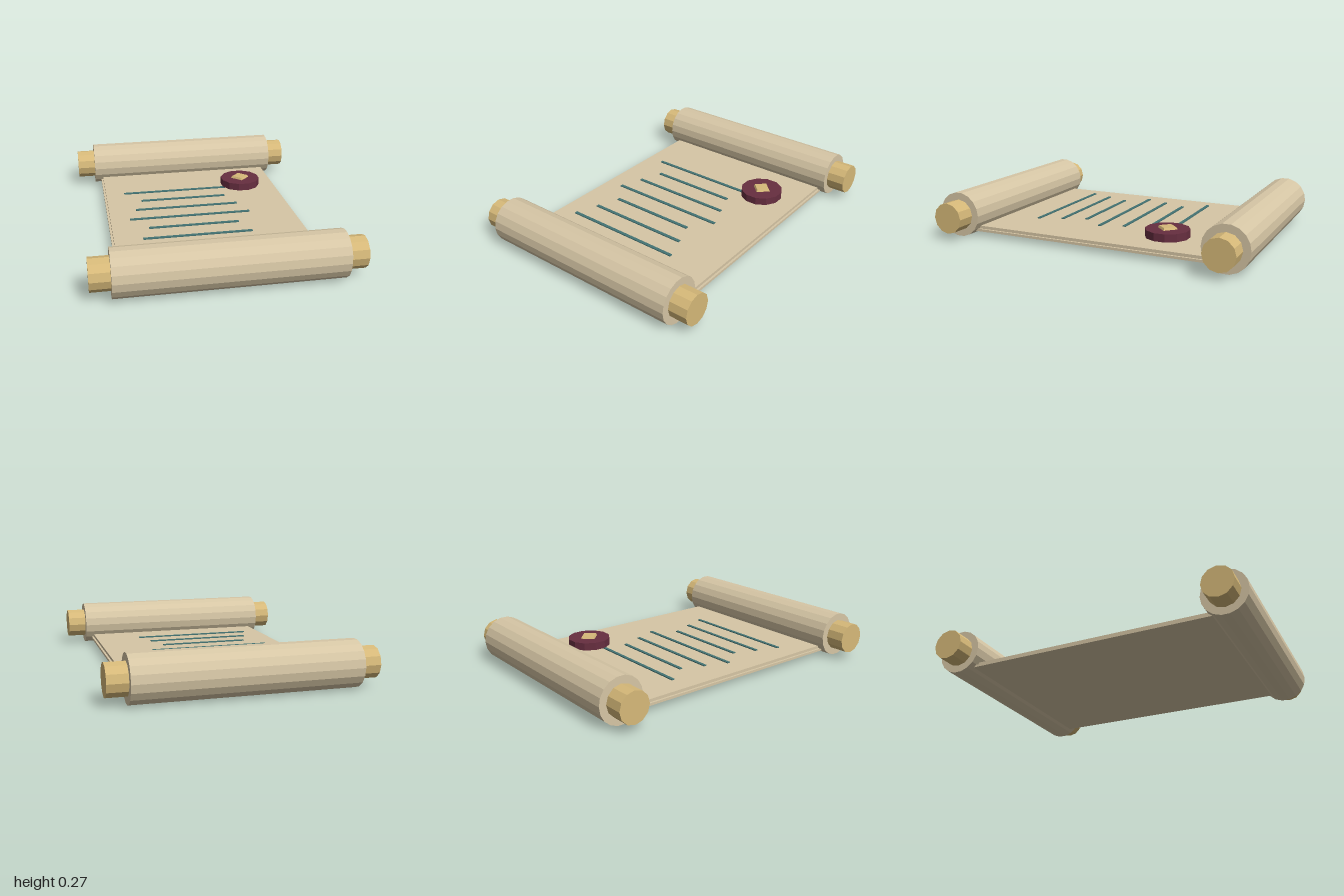
import * as THREE from 'three';

const mat = (name, color) => {
  const m = new THREE.MeshStandardMaterial({ color, flatShading: true });
  m.name = name;
  return m;
};

export function createModel() {
  const paper = mat('parchment', 0xd6c6a5);
  const gold = mat('gold', 0xd6b979);
  const wax = mat('burgundy wax', 0x672e40);
  const ink = mat('teal ink', 0x447474);

  const model = new THREE.Group();
  model.name = 'scroll';

  const add = (name, geometry, material, x, y, z, parent = model) => {
    const mesh = new THREE.Mesh(geometry, material);
    mesh.name = name;
    mesh.position.set(x, y, z);
    parent.add(mesh);
    return mesh;
  };

  // Flat sheet: a slightly wider backing under the writing surface
  add('sheetBacking', new THREE.BoxGeometry(1.216, 0.015, 1.6), paper, 0, 0.0405, 0);
  add('sheet', new THREE.BoxGeometry(1.19, 0.018, 1.6), paper, 0, 0.057, 0);

  // Rolled ends, each with a rod showing at both sides
  const rollGeometry = new THREE.CylinderGeometry(0.139, 0.139, 1.3, 18).rotateZ(Math.PI / 2);
  const knobGeometry = new THREE.CylinderGeometry(0.095, 0.095, 0.13, 12).rotateZ(Math.PI / 2);
  for (const [end, side] of [['front', 1], ['back', -1]]) {
    const roll = new THREE.Group();
    roll.name = end + 'Roll';
    roll.position.set(0, 0.139, side * 0.861);
    model.add(roll);
    add(end + 'RolledPaper', rollGeometry, paper, 0, 0, 0, roll);
    add(end + 'LeftKnob', knobGeometry, gold, 0.702, 0, 0, roll);
    add(end + 'RightKnob', knobGeometry, gold, -0.702, 0, 0, roll);
  }

  // Lines of writing, in three repeating lengths
  const lengths = [0.78, 0.57, 0.675];
  for (let i = 0; i < 7; i++) {
    const geometry = new THREE.BoxGeometry(lengths[i % 3], 0.006, 0.02);
    add('writingLine' + (i + 1), geometry, ink, -0.082, 0.075, -0.375 + i * 0.1458);
  }

  // Wax seal with a gold diamond stud
  const seal = new THREE.Group();
  seal.name = 'seal';
  seal.position.set(0.354, 0, -0.413);
  model.add(seal);
  const disc = new THREE.CylinderGeometry(0.135, 0.135, 0.048, 12).rotateY(Math.PI / 12);
  add('sealDisc', disc, wax, 0, 0.102, 0, seal);
  add('sealStud', new THREE.CylinderGeometry(0.054, 0.064, 0.014, 4), gold, 0, 0.132, 0, seal);

  return model;
}
